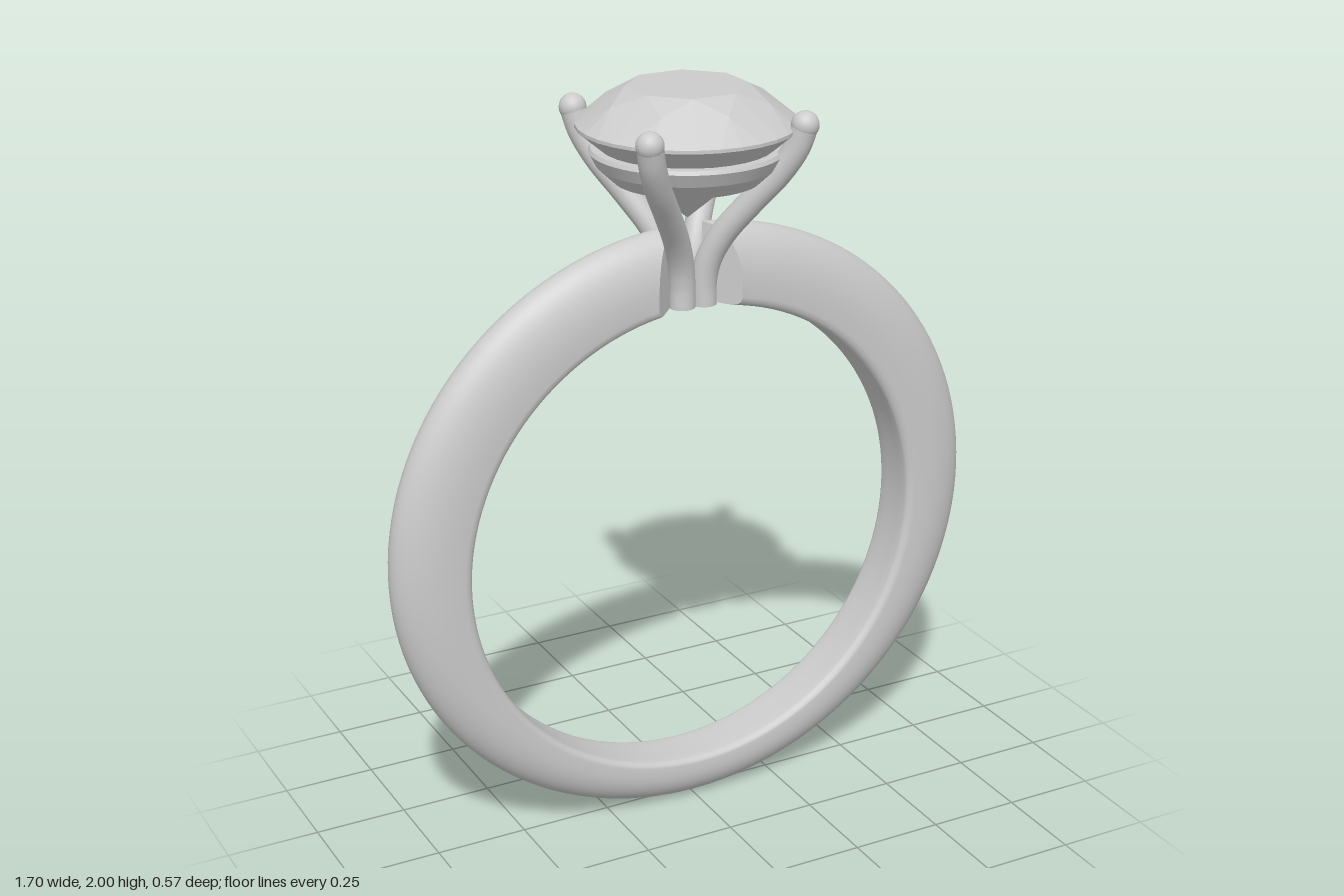
import * as THREE from 'three';
import { ConvexGeometry } from 'three/addons/geometries/ConvexGeometry.js';

const metal = new THREE.MeshStandardMaterial({ color: 0xcccccc });
const flat = new THREE.MeshStandardMaterial({ color: 0xcccccc, flatShading: true });
const thin = new THREE.MeshStandardMaterial({ color: 0xcccccc, flatShading: true, side: THREE.DoubleSide });

// Half cross-section of the band: [t, z], t runs from the inner (0) to the outer (1) edge
const half = [[0, 0], [0, 0.03], [0, 0.058], [0.02, 0.067], [0.06, 0.074], [0.12, 0.077]];
for (let i = 0; i <= 12; i++) {
  const a = (i / 12) * Math.PI / 2;
  half.push([0.3 + 0.7 * Math.sin(a), 0.077 * Math.cos(a)]);
}

// The band's ends are cut at 45 degrees to clear the prongs
const cutX = (z) => Math.abs(z) + 0.043;
const startAngle = (t, z) => Math.asin(cutX(z) / (0.65 + 0.2 * t));
// Angle runs clockwise from the top; inner edge is a circle, outer edge a shifted ellipse
const bandPoint = (t, z, a) => [
  (0.65 + 0.2 * t) * Math.sin(a),
  0.78 + 0.04 * t + (0.65 + 0.17 * t) * Math.cos(a),
  z,
];

function buffer(positions, index) {
  const g = new THREE.BufferGeometry();
  g.setAttribute('position', new THREE.Float32BufferAttribute(positions, 3));
  g.setIndex(index);
  g.computeVertexNormals();
  return g;
}

function bandGeometry() {
  const mirrored = half.slice(1, -1).reverse().map(([t, z]) => [t, -z]);
  const loop = [...half, ...mirrored];
  const n = loop.length, steps = 128, pos = [], idx = [];
  for (let i = 0; i <= steps; i++) {
    for (const [t, z] of loop) {
      const a0 = startAngle(t, z);
      pos.push(...bandPoint(t, z, a0 + (i / steps) * (2 * Math.PI - 2 * a0)));
    }
  }
  for (let i = 0; i < steps; i++) {
    for (let k = 0; k < n; k++) {
      const a = i * n + k, b = i * n + (k + 1) % n;
      idx.push(a, a + n, b, b, a + n, b + n);
    }
  }
  return buffer(pos, idx);
}

// One slanted cut face, between the profile and the band's mid plane
function cutGeometry(sx, sz) {
  const pos = [], idx = [];
  half.forEach(([t, z], k) => {
    for (const w of [z, 0]) {
      const [x, y] = bandPoint(t, w, startAngle(t, w));
      pos.push(sx * x, y, sz * w);
    }
    if (k) idx.push(2 * k - 2, 2 * k, 2 * k - 1, 2 * k - 1, 2 * k, 2 * k + 1);
  });
  return buffer(pos, idx);
}

function stoneGeometry() {
  const pts = [new THREE.Vector3(0, 1.655, 0)];
  const ring = (count, r, y, offset) => {
    for (let i = 0; i < count; i++) {
      const a = ((i + offset) / count) * Math.PI * 2;
      pts.push(new THREE.Vector3(r * Math.cos(a), y, r * Math.sin(a)));
    }
  };
  ring(8, 0.155, 2.0, 0.5); // table
  ring(8, 0.215, 1.965, 0); // crown kites
  ring(32, 0.283, 1.906, 0); // girdle
  ring(32, 0.283, 1.897, 0);
  return new ConvexGeometry(pts);
}

export function createModel() {
  const model = new THREE.Group();
  model.name = 'ring';
  const add = (name, geometry, material, parent = model) => {
    const mesh = new THREE.Mesh(geometry, material);
    mesh.name = name;
    parent.add(mesh);
    return mesh;
  };

  add('band', bandGeometry(), metal);
  for (const sx of [1, -1]) for (const sz of [1, -1]) add('bandCut', cutGeometry(sx, sz), thin);

  add('stone', stoneGeometry(), flat);

  // Rail under the stone, one lathe per straight run so its edges stay sharp
  const rail = new THREE.Group();
  rail.name = 'basketRail';
  model.add(rail);
  const profile = [[0.13, 1.76], [0.19, 1.76], [0.232, 1.8], [0.25, 1.835], [0.245, 1.845], [0.207, 1.845], [0.13, 1.76]]
    .map(([x, y]) => new THREE.Vector2(x, y));
  for (let i = 0; i < profile.length - 1; i++) {
    add('railFace', new THREE.LatheGeometry([profile[i], profile[i + 1]], 64), metal, rail);
  }

  // Four curved prongs, rising on the diagonals
  const path = [[0.031, 1.43], [0.031, 1.49], [0.04, 1.55], [0.066, 1.62], [0.118, 1.71], [0.168, 1.79], [0.2, 1.86], [0.215, 1.92]];
  for (const sx of [1, -1]) {
    for (const sz of [1, -1]) {
      const prong = new THREE.Group();
      prong.name = 'prong';
      model.add(prong);
      const curve = new THREE.CatmullRomCurve3(path.map(([d, y]) => new THREE.Vector3(sx * d, y, sz * d)));
      add('prongStem', new THREE.TubeGeometry(curve, 40, 0.034, 20), metal, prong);
      add('prongTip', new THREE.SphereGeometry(0.0355, 20, 14), metal, prong).position.set(sx * 0.215, 1.92, sz * 0.215);
      const foot = add('prongFoot', new THREE.CircleGeometry(0.034, 20), metal, prong);
      foot.rotation.x = Math.PI / 2;
      foot.position.set(sx * 0.031, 1.43, sz * 0.031);
    }
  }
  return model;
}
